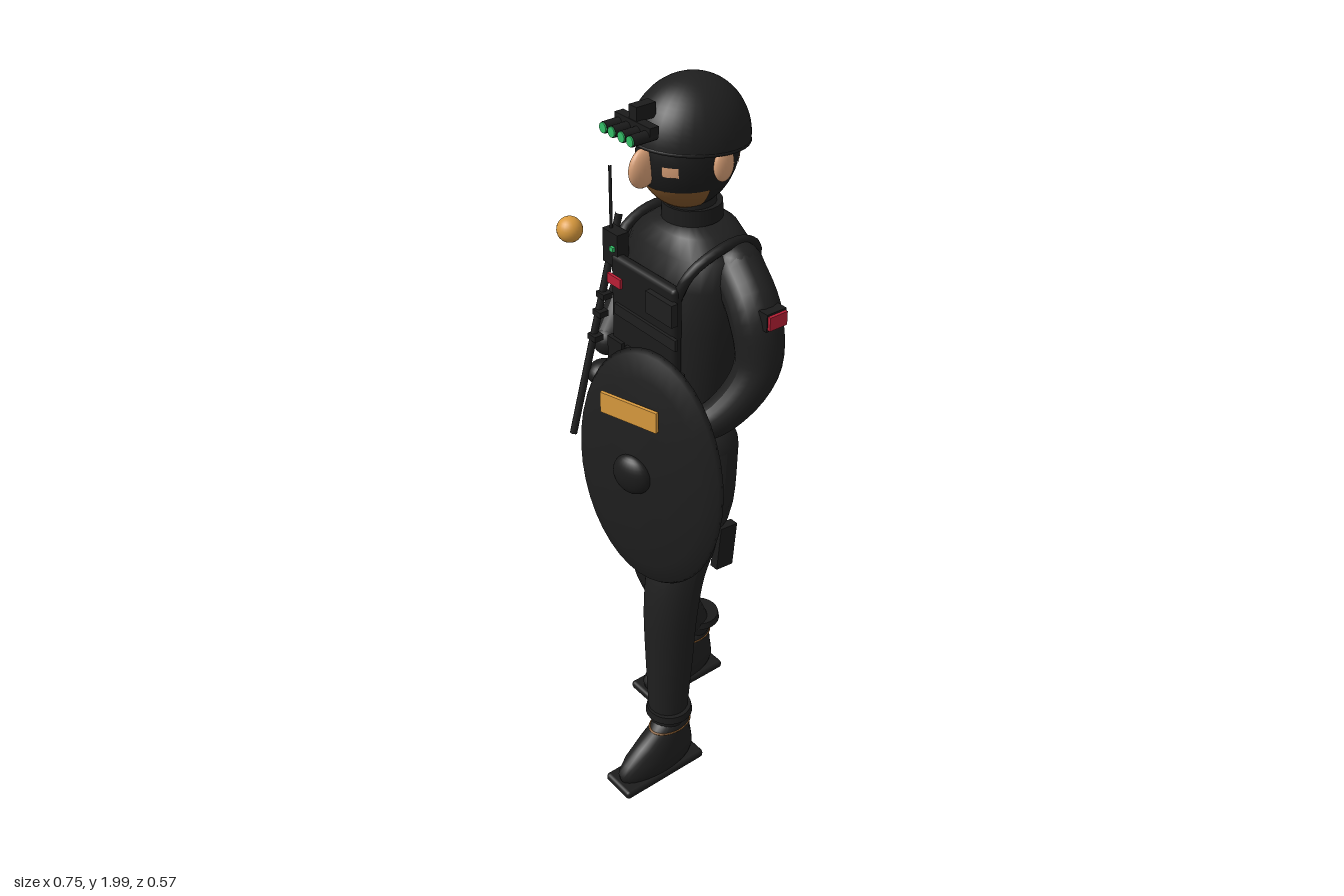
import * as THREE from 'three';
import { RoundedBoxGeometry } from 'three/addons/geometries/RoundedBoxGeometry.js';

const V = (x, y, z) => new THREE.Vector3(x, y, z);

export function createModel() {
  const model = new THREE.Group();
  model.name = 'shieldGuard';
  const mat = (name, color, side = THREE.FrontSide) => {
    const m = new THREE.MeshStandardMaterial({ color, side });
    m.name = name;
    return m;
  };
  const cloth = mat('black cloth', 0x1f1f1f);
  const gear = mat('dark gear', 0x1b1b1b);
  const skin = mat('skin', 0xd9a077, THREE.DoubleSide);
  const beard = mat('brown', 0x80552a, THREE.DoubleSide);
  const amber = mat('amber', 0xd99a3e);
  const red = mat('red', 0xb81f35);
  const green = mat('green', 0x33bd66);

  const add = (name, geo, m, x = 0, y = 0, z = 0, parent = model) => {
    const mesh = new THREE.Mesh(geo, m);
    mesh.name = name;
    mesh.position.set(x, y, z);
    parent.add(mesh);
    return mesh;
  };
  const box = (name, m, w, h, d, x, y, z, parent) => add(name, new THREE.BoxGeometry(w, h, d), m, x, y, z, parent);
  const ball = (name, m, rx, ry, rz, x, y, z, parent) =>
    add(name, new THREE.SphereGeometry(1, 24, 16).scale(rx, ry, rz), m, x, y, z, parent);
  const rod = (name, m, a, b, r) =>
    add(name, new THREE.TubeGeometry(new THREE.LineCurve3(a, b), 1, r, 10), m);

  // Tapered round limb through points [x, y, z, radius], rounded at both ends
  function limb(name, m, pts) {
    const g = new THREE.Group();
    g.name = name;
    model.add(g);
    const curve = new THREE.CatmullRomCurve3(pts.map(p => V(p[0], p[1], p[2])));
    const seg = 24, sides = 18;
    const geo = new THREE.TubeGeometry(curve, seg, 1, sides);
    const pos = geo.attributes.position, v = V(0, 0, 0);
    for (let i = 0; i <= seg; i++) {
      const c = curve.getPointAt(i / seg);
      const t = curve.getUtoTmapping(i / seg) * (pts.length - 1);
      const k = Math.min(Math.floor(t), pts.length - 2);
      const r = THREE.MathUtils.lerp(pts[k][3], pts[k + 1][3], t - k);
      for (let j = 0; j <= sides; j++) {
        const n = i * (sides + 1) + j;
        v.fromBufferAttribute(pos, n).sub(c).multiplyScalar(r).add(c);
        pos.setXYZ(n, v.x, v.y, v.z);
      }
    }
    geo.computeVertexNormals();
    add(name + 'Sleeve', geo, m, 0, 0, 0, g);
    for (const p of [pts[0], pts[pts.length - 1]]) ball(name + 'End', m, p[3], p[3], p[3], p[0], p[1], p[2], g);
  }

  // Closed body from level rings [y, centre z, half width, half depth]
  function loft(rings, n = 2, sides = 28) {
    const pos = [], idx = [];
    const pw = c => Math.sign(c) * Math.pow(Math.abs(c), 2 / n);
    for (const [y, z, rx, rz] of rings)
      for (let j = 0; j < sides; j++) {
        const a = j / sides * Math.PI * 2;
        pos.push(pw(Math.cos(a)) * rx, y, z + pw(Math.sin(a)) * rz);
      }
    for (let i = 0; i < rings.length - 1; i++)
      for (let j = 0; j < sides; j++) {
        const a = i * sides + j, b = i * sides + (j + 1) % sides;
        idx.push(a, a + sides, b, b, a + sides, b + sides);
      }
    for (const [i, up] of [[0, false], [rings.length - 1, true]]) {
      const c = pos.length / 3;
      pos.push(0, rings[i][0], rings[i][1]);
      for (let j = 0; j < sides; j++) {
        const a = i * sides + j, b = i * sides + (j + 1) % sides;
        idx.push(c, up ? b : a, up ? a : b);
      }
    }
    const g = new THREE.BufferGeometry();
    g.setAttribute('position', new THREE.Float32BufferAttribute(pos, 3));
    g.setIndex(idx);
    g.computeVertexNormals();
    return g;
  }

  // Torso, collar and hips
  add('torso', loft([[1.125, -0.045, 0.13, 0.09], [1.15, -0.048, 0.155, 0.106], [1.22, -0.052, 0.168, 0.118],
    [1.4, -0.065, 0.178, 0.134], [1.52, -0.072, 0.182, 0.13], [1.59, -0.08, 0.165, 0.115],
    [1.63, -0.085, 0.11, 0.095], [1.65, -0.08, 0.06, 0.07]], 2.4), cloth);
  add('neck', new THREE.CylinderGeometry(0.062, 0.065, 0.14, 24), cloth, 0, 1.67, -0.075);
  add('collar', new THREE.CylinderGeometry(0.074, 0.076, 0.04, 24), gear, 0, 1.667, -0.08);
  add('hips', loft([[0.865, -0.06, 0.06, 0.05], [0.9, -0.062, 0.14, 0.085], [0.97, -0.068, 0.168, 0.1],
    [1.04, -0.074, 0.155, 0.102], [1.085, -0.076, 0.13, 0.092], [1.105, -0.076, 0.1, 0.07], [1.113, -0.076, 0.05, 0.04]]), cloth);

  // Legs: left steps forward, right trails
  limb('leftLeg', cloth, [[0.075, 1.02, -0.07, 0.088], [0.095, 0.88, -0.035, 0.092], [0.115, 0.7, 0.055, 0.08],
    [0.122, 0.58, 0.08, 0.075], [0.127, 0.4, 0.09, 0.066], [0.13, 0.2, 0.097, 0.054]]);
  limb('rightLeg', cloth, [[-0.075, 1.02, -0.07, 0.088], [-0.09, 0.88, -0.07, 0.092], [-0.105, 0.7, -0.045, 0.08],
    [-0.112, 0.55, -0.052, 0.073], [-0.116, 0.42, -0.09, 0.067], [-0.118, 0.2, -0.2, 0.05]]);
  for (const [side, x, z, cz] of [['left', 0.138, 0, 0.097], ['right', -0.117, -0.287, -0.218]]) {
    add(side + 'TrouserCuff', new THREE.CylinderGeometry(0.062, 0.066, 0.02, 24), gear, x - 0.003, 0.222, cz);
    add(side + 'Boot', loft([[0.027, 0.15, 0.045, 0.12], [0.055, 0.148, 0.051, 0.128], [0.085, 0.14, 0.05, 0.117],
      [0.125, 0.12, 0.046, 0.09], [0.16, 0.097, 0.043, 0.064], [0.2, 0.09, 0.043, 0.05]]), cloth, x, 0, z);
    add(side + 'Sole', new RoundedBoxGeometry(0.106, 0.026, 0.277, 3, 0.011), gear, x, 0.021, z + 0.15);
    add(side + 'Lace', new THREE.TorusGeometry(1, 0.06, 6, 28).rotateX(Math.PI / 2).scale(0.043, 0.05, 0.064),
      beard, x, 0.162, z + 0.097);
  }

  // Arms and gloves
  limb('rightArm', cloth, [[-0.145, 1.555, -0.11, 0.066], [-0.25, 1.47, -0.135, 0.067], [-0.32, 1.33, -0.155, 0.06],
    [-0.298, 1.25, -0.085, 0.05], [-0.262, 1.2, -0.01, 0.042]]);
  limb('leftArm', cloth, [[0.145, 1.555, -0.1, 0.066], [0.235, 1.48, -0.08, 0.066], [0.262, 1.34, -0.07, 0.058],
    [0.225, 1.22, 0.01, 0.048], [0.15, 1.16, 0.1, 0.04]]);
  ball('rightGlove', gear, 0.042, 0.035, 0.045, -0.195, 1.155, 0.055);
  ball('leftGlove', gear, 0.05, 0.04, 0.045, 0.105, 1.14, 0.145);
  box('armPatch', red, 0.008, 0.036, 0.054, 0.317, 1.492, -0.08);
  box('armPatchBacking', gear, 0.03, 0.046, 0.06, 0.298, 1.492, -0.08);

  // Head in a mask, with bare skin and beard as thin shells
  const head = new THREE.Group();
  head.name = 'head';
  head.position.set(0, 1.825, -0.065);
  model.add(head);
  ball('mask', gear, 0.114, 0.146, 0.128, 0, 0, 0, head);
  const shell = (name, m, phi, width, t0, t1) => add(name,
    new THREE.SphereGeometry(1, 20, 8, phi - width / 2, width, t0, t1 - t0).scale(0.1155, 0.1475, 0.1295), m, 0, 0, 0, head);
  shell('beard', beard, Math.PI / 2, 2.9, 2.08, 2.75);
  shell('backSkin', skin, Math.PI * 1.5, 1.8, 1.5, 1.84);
  for (const s of [-1, 1]) {
    shell('eyeSkin', skin, Math.PI / 2 + s * 0.6, 0.34, 1.6, 1.77);
    ball('ear', skin, 0.014, 0.042, 0.029, s * 0.116, -0.01, -0.012, head);
  }
  const nose = ball('nose', skin, 0.019, 0.05, 0.042, 0, -0.018, 0.132, head);
  nose.rotation.x = -0.2;

  // Helmet with four-tube night goggles
  const helmet = add('helmet', new THREE.SphereGeometry(1, 32, 16, 0, Math.PI * 2, 0, Math.PI * 0.5)
    .scale(0.132, 0.154, 0.153), cloth, 0, 1.846, -0.071);
  helmet.rotation.x = -0.1;
  const rim = add('helmetRim', new THREE.TorusGeometry(1, 0.035, 8, 40).rotateX(Math.PI / 2).scale(0.129, 0.14, 0.149), gear, 0, 1.848, -0.071);
  rim.rotation.x = -0.1;
  const liner = add('helmetLiner', new THREE.CircleGeometry(1, 32).rotateX(Math.PI / 2).scale(0.13, 1, 0.15), gear, 0, 1.846, -0.071);
  liner.rotation.x = -0.1;
  box('goggleMount', gear, 0.028, 0.036, 0.055, 0.008, 1.95, 0.075);
  box('goggleBridge', gear, 0.13, 0.02, 0.025, 0.008, 1.925, 0.092);
  for (const x of [-0.042, -0.01, 0.026, 0.058]) {
    add('goggleTube', new THREE.CylinderGeometry(0.014, 0.014, 0.068, 14).rotateX(Math.PI / 2), gear, x, 1.912, 0.113);
    add('goggleLens', new THREE.CylinderGeometry(0.0125, 0.0125, 0.005, 14).rotateX(Math.PI / 2), green, x, 1.912, 0.148);
  }

  // Vest: straps, plate, pouches, patch and radio
  for (const s of [-1, 1]) add('shoulderStrap', new THREE.TubeGeometry(new THREE.CatmullRomCurve3([
    V(s * 0.07, 1.42, -0.19), V(s * 0.115, 1.57, -0.187), V(s * 0.14, 1.62, -0.1), V(s * 0.135, 1.58, 0.03),
    V(s * 0.1, 1.48, 0.062)]), 20, 0.014, 8), gear);
  add('chestPlate', new RoundedBoxGeometry(0.25, 0.26, 0.03, 2, 0.012), gear, 0, 1.41, 0.062);
  box('chestPouch', cloth, 0.1, 0.06, 0.02, 0.085, 1.48, 0.082);
  box('chestBand', cloth, 0.24, 0.03, 0.01, 0.02, 1.4, 0.08);
  for (const x of [-0.1, -0.03, 0.04, 0.11]) box('magazinePouch', gear, 0.058, 0.09, 0.035, x, 1.265, 0.07);
  box('chestPatch', red, 0.052, 0.026, 0.008, -0.084, 1.487, 0.094);
  box('radio', gear, 0.06, 0.09, 0.035, -0.13, 1.55, 0.055);
  box('radioLight', green, 0.014, 0.012, 0.008, -0.115, 1.555, 0.077);
  rod('antenna', gear, V(-0.147, 1.57, 0.055), V(-0.147, 1.76, 0.055), 0.004);
  box('beltBar', gear, 0.15, 0.026, 0.05, -0.115, 1.117, 0.05);

  // Thigh gear
  box('rightThighPouch', gear, 0.025, 0.06, 0.045, -0.168, 0.995, -0.05);
  add('rightThighStrap', new THREE.TorusGeometry(0.093, 0.009, 8, 16, 1.9).rotateZ(Math.PI - 0.95).rotateX(Math.PI / 2),
    gear, -0.093, 0.85, -0.066);
  const holster = box('leftHolster', gear, 0.025, 0.13, 0.055, 0.183, 0.76, -0.05);
  holster.rotation.x = -0.1;

  // Baton slanting forward at its foot, and an amber ball before its top
  const tip = V(-0.208, 1.59, -0.015), foot = V(-0.215, 0.99, 0.145);
  rod('baton', gear, tip, foot, 0.01);
  for (const t of [0.35, 0.43, 0.54]) {
    const p = tip.clone().lerp(foot, t);
    box('batonGrip', gear, 0.032, 0.016, 0.028, p.x + 0.008, p.y, p.z);
  }
  ball('amberBall', amber, 0.033, 0.033, 0.033, -0.21, 1.59, 0.135);

  // Oval shield: a lens, fuller at the front, with boss and window
  const shield = new THREE.Group();
  shield.name = 'shield';
  shield.position.set(0.171, 1.099, 0.184);
  shield.rotation.y = 0.28;
  model.add(shield);
  const profile = [[0, -0.024], [0.45, -0.019], [0.8, -0.009], [1, 0], [0.97, 0.012], [0.8, 0.03], [0.45, 0.046], [0, 0.052]];
  add('shieldBody', new THREE.LatheGeometry(profile.map(p => new THREE.Vector2(p[0], p[1])), 40)
    .rotateX(Math.PI / 2).scale(0.214, 0.345, 1), cloth, 0, 0, 0, shield);
  ball('shieldBoss', gear, 0.054, 0.054, 0.03, -0.02, 0.01, 0.05, shield);
  box('shieldWindow', amber, 0.165, 0.056, 0.009, -0.027, 0.188, 0.05, shield);
  box('shieldHandle', gear, 0.1, 0.025, 0.025, -0.03, 0.02, -0.035, shield);
  return model;
}
